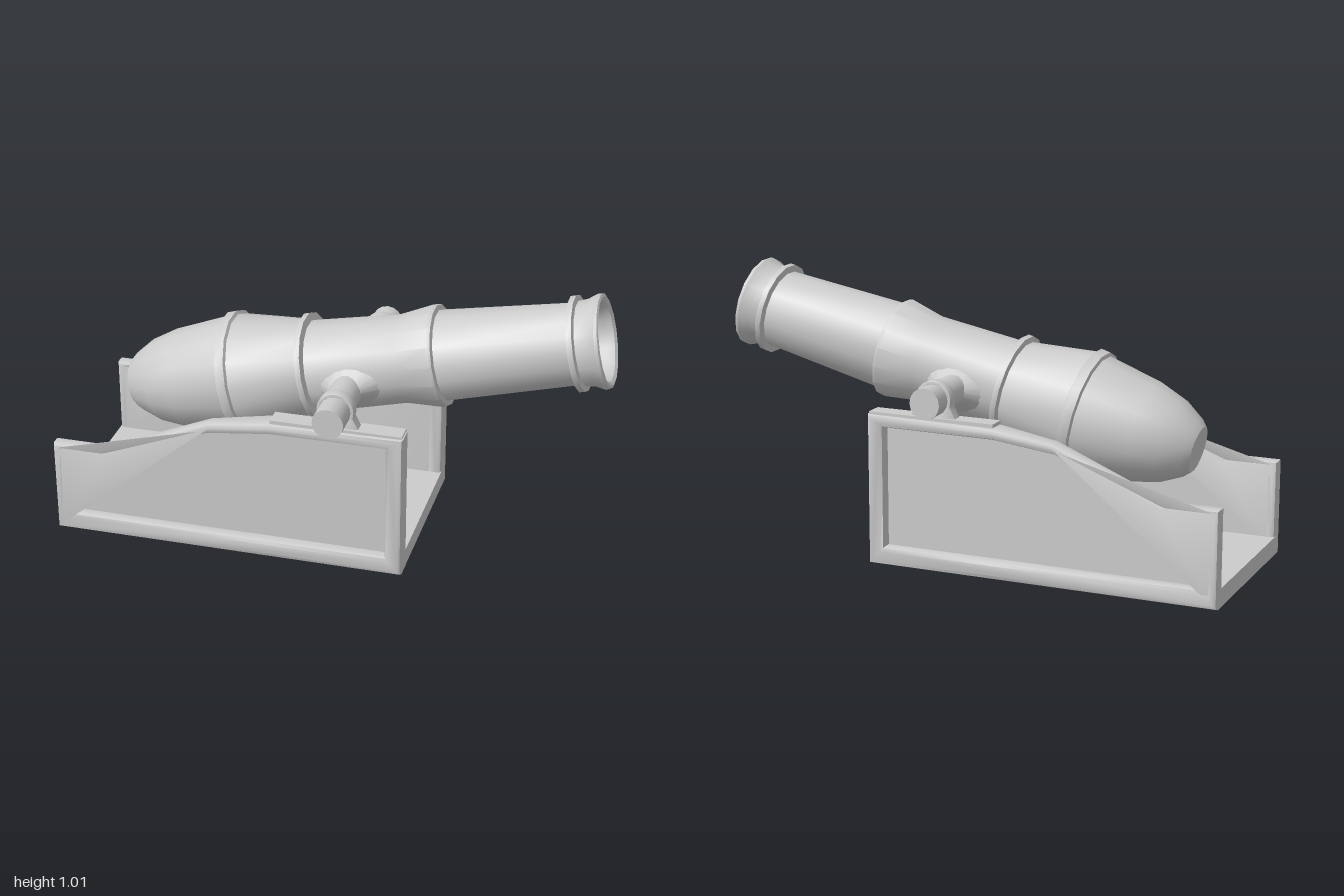
import * as THREE from 'three';
import { toCreasedNormals } from 'three/addons/utils/BufferGeometryUtils.js';

const material = new THREE.MeshStandardMaterial({ color: 0xcccccc });
const CREASE = 0.6;

function addMesh(parent, name, geometry) {
  const mesh = new THREE.Mesh(toCreasedNormals(geometry, CREASE), material);
  mesh.name = name;
  parent.add(mesh);
  return mesh;
}

const toPoints = (list) => list.map(([x, y]) => new THREE.Vector2(x, y));

// Extrusion centred on z = 0 whose bevel stays inside the outline
function slab(shape, thickness, bevel) {
  const geometry = new THREE.ExtrudeGeometry(shape, {
    depth: thickness - 2 * bevel, bevelEnabled: bevel > 0, bevelSize: bevel,
    bevelThickness: bevel, bevelOffset: -bevel, bevelSegments: 2, curveSegments: 10,
  });
  return geometry.translate(0, 0, -thickness / 2 + bevel);
}

// The wall gets thinner from the inside towards the rear
function thinRear(geometry, side) {
  const p = geometry.attributes.position;
  for (let i = 0; i < p.count; i++) {
    if (p.getZ(i) * side > 0) continue;
    const ramp = THREE.MathUtils.clamp((-0.17 - p.getX(i)) / 0.23, 0, 1);
    p.setZ(i, p.getZ(i) + side * 0.028 * ramp);
  }
  return geometry;
}

// Side wall: a bevelled rim around a recessed panel
const wallOutline = [[-1, 0], [-0.4, 0], [-0.17, 0], [0.315, 0], [0.315, 0.555], [-0.17, 0.55],
  [-0.4, 0.52], [-0.8, 0.352], [-1, 0.352]];
const panelOutline = [[-0.955, 0.068], [-0.4, 0.068], [-0.17, 0.068], [0.252, 0.068], [0.252, 0.51],
  [-0.17, 0.508], [-0.4, 0.48], [-0.81, 0.328], [-0.955, 0.328]];

function sideWall(side) {
  const wall = new THREE.Group();
  wall.name = side > 0 ? 'frontWall' : 'backWall';
  wall.position.z = side * 0.325;

  const rim = new THREE.Shape(toPoints(wallOutline));
  rim.holes.push(new THREE.Path(toPoints(panelOutline)));
  addMesh(wall, 'wallRim', thinRear(slab(rim, 0.092, 0.016), side));

  // The panel edge runs a little way into the rim
  const grown = panelOutline.map(([x, y]) => [-0.35 + (x + 0.35) * 1.03, 0.29 + (y - 0.29) * 1.06]);
  const panel = slab(new THREE.Shape(toPoints(grown)), 0.05, 0);
  panel.translate(0, 0, -side * 0.0205);
  addMesh(wall, 'wallPanel', thinRear(panel, side));
  return wall;
}

// Bearing plate and the strap that holds the trunnion
function bearing(side) {
  const group = new THREE.Group();
  group.name = side > 0 ? 'frontBearing' : 'backBearing';
  group.position.set(0.065, 0, side * 0.324);

  const plate = addMesh(group, 'bearingPlate', new THREE.BoxGeometry(0.48, 0.02, 0.068));
  plate.position.set(0.005, 0.553, 0);

  const strap = new THREE.Shape();
  strap.moveTo(-0.088, 0.555);
  strap.lineTo(0.088, 0.555);
  strap.lineTo(0.066, 0.6);
  strap.absarc(0, 0.625, 0.068, -0.3, Math.PI + 0.3, false);
  strap.lineTo(-0.066, 0.6);
  const hole = new THREE.Path();
  hole.absarc(0, 0.625, 0.054, 0, Math.PI * 2, true);
  strap.holes.push(hole);
  addMesh(group, 'bearingStrap', slab(strap, 0.044, 0.004));
  return group;
}

// Barrel profile as [distance behind the muzzle, radius], breech to muzzle, then down the bore
const barrelProfile = [
  [1.8, 0], [1.8, 0.085], [1.775, 0.11], [1.7, 0.155], [1.6, 0.186], [1.395, 0.216],
  [1.39, 0.229], [1.355, 0.232], [1.35, 0.219], [1.1, 0.177],
  [1.095, 0.198], [1.075, 0.198], [1.07, 0.17], [0.737, 0.162],
  [0.605, 0.187], [0.592, 0.183], [0.588, 0.165], [0.112, 0.147],
  [0.108, 0.172], [0.088, 0.172], [0.084, 0.152], [0.045, 0.157], [0.012, 0.171],
  [0, 0.168], [-0.004, 0.158], [0.004, 0.145], [0.03, 0.136], [0.35, 0.125], [0.35, 0],
];

function cannon() {
  const group = new THREE.Group();
  group.name = 'cannon';
  const profile = toPoints(barrelProfile.map(([s, r]) => [r, -s]));
  const barrel = addMesh(group, 'barrel', new THREE.LatheGeometry(profile, 16, Math.PI / 16));
  barrel.position.set(0.955, 0.85, 0);
  barrel.rotation.z = -THREE.MathUtils.degToRad(77.3);

  const trunnion = addMesh(group, 'trunnion',
    new THREE.CylinderGeometry(0.057, 0.057, 0.86, 16).rotateX(Math.PI / 2));
  trunnion.position.set(0.065, 0.625, 0.014);

  // Flared collars between barrel and trunnion
  for (const side of [1, -1]) {
    const collar = new THREE.CylinderGeometry(0.058, 0.2, 0.12, 16);
    collar.scale(1, 1, 0.6).rotateX(side * Math.PI / 2);
    const mesh = addMesh(group, 'trunnionCollar', collar);
    mesh.position.set(0.065, 0.628, side * 0.145);
    mesh.rotation.z = 0.22;
  }
  return group;
}

export function createModel() {
  const model = new THREE.Group();
  model.name = 'cannonOnCarriage';
  model.position.z = -0.014;

  const carriage = new THREE.Group();
  carriage.name = 'carriage';
  const floor = addMesh(carriage, 'floor', new THREE.BoxGeometry(1.314, 0.068, 0.66));
  floor.position.set(-0.3425, 0.034, 0);
  for (const side of [1, -1]) carriage.add(sideWall(side), bearing(side));

  model.add(carriage, cannon());
  const root = new THREE.Group();
  root.add(model);
  return root;
}
